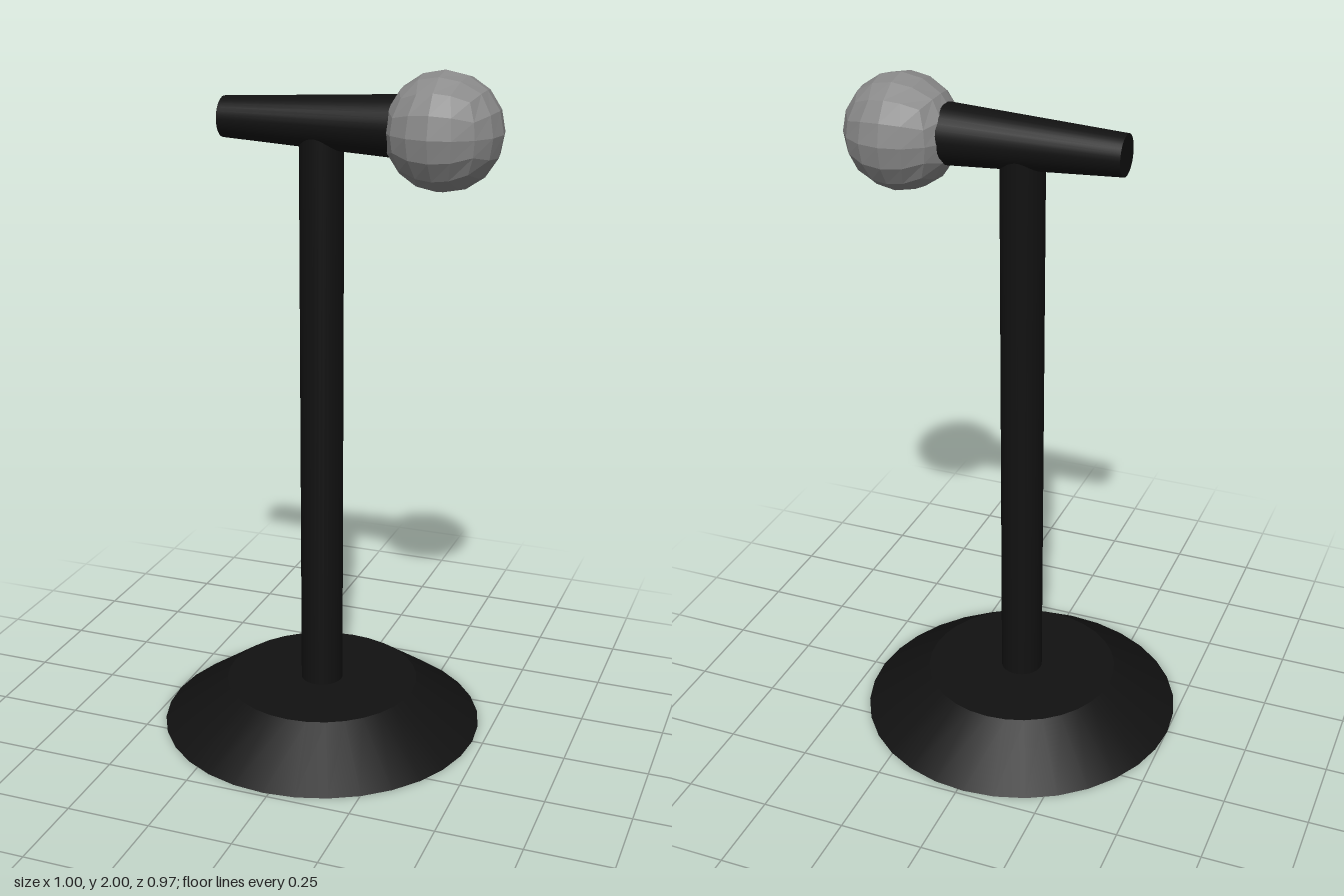
import * as THREE from 'three';

const black = new THREE.MeshStandardMaterial({ color: 0x111111 });
const grey = new THREE.MeshStandardMaterial({ color: 0x8a8a8a, flatShading: true });

function addPart(group, name, geometry, material, x, y) {
  const mesh = new THREE.Mesh(geometry, material);
  mesh.name = name;
  mesh.position.set(x, y, 0);
  group.add(mesh);
  return mesh;
}

// Cube whose grid is spread by equal angles and pushed out to a sphere
function cubeSphere(radius, divisions) {
  const geometry = new THREE.BoxGeometry(2, 2, 2, divisions, divisions, divisions);
  const pos = geometry.attributes.position;
  const v = new THREE.Vector3();
  const spread = (t) => Math.tan(t * Math.PI / 4);
  for (let i = 0; i < pos.count; i++) {
    v.fromBufferAttribute(pos, i);
    v.set(spread(v.x), spread(v.y), spread(v.z)).setLength(radius);
    pos.setXYZ(i, v.x, v.y, v.z);
  }
  geometry.computeVertexNormals();
  return geometry;
}

export function createModel() {
  const model = new THREE.Group();
  model.name = 'microphoneStand';
  const axisX = -0.017;

  // Sloped round foot and upright pole
  addPart(model, 'base', new THREE.CylinderGeometry(0.292, 0.485, 0.135, 32), black, axisX, 0.0675);
  addPart(model, 'pole', new THREE.CylinderGeometry(0.063, 0.063, 1.71, 32), black, axisX, 0.955);

  // Tapered handle lying along x, wide end toward the head
  const handle = addPart(model, 'handle', new THREE.CylinderGeometry(0.087, 0.058, 0.53, 32), black, -0.045, 1.843);
  handle.rotation.z = -Math.PI / 2;

  // Faceted grille ball
  addPart(model, 'head', cubeSphere(0.165, 4), grey, 0.336, 1.836);

  return model;
}
